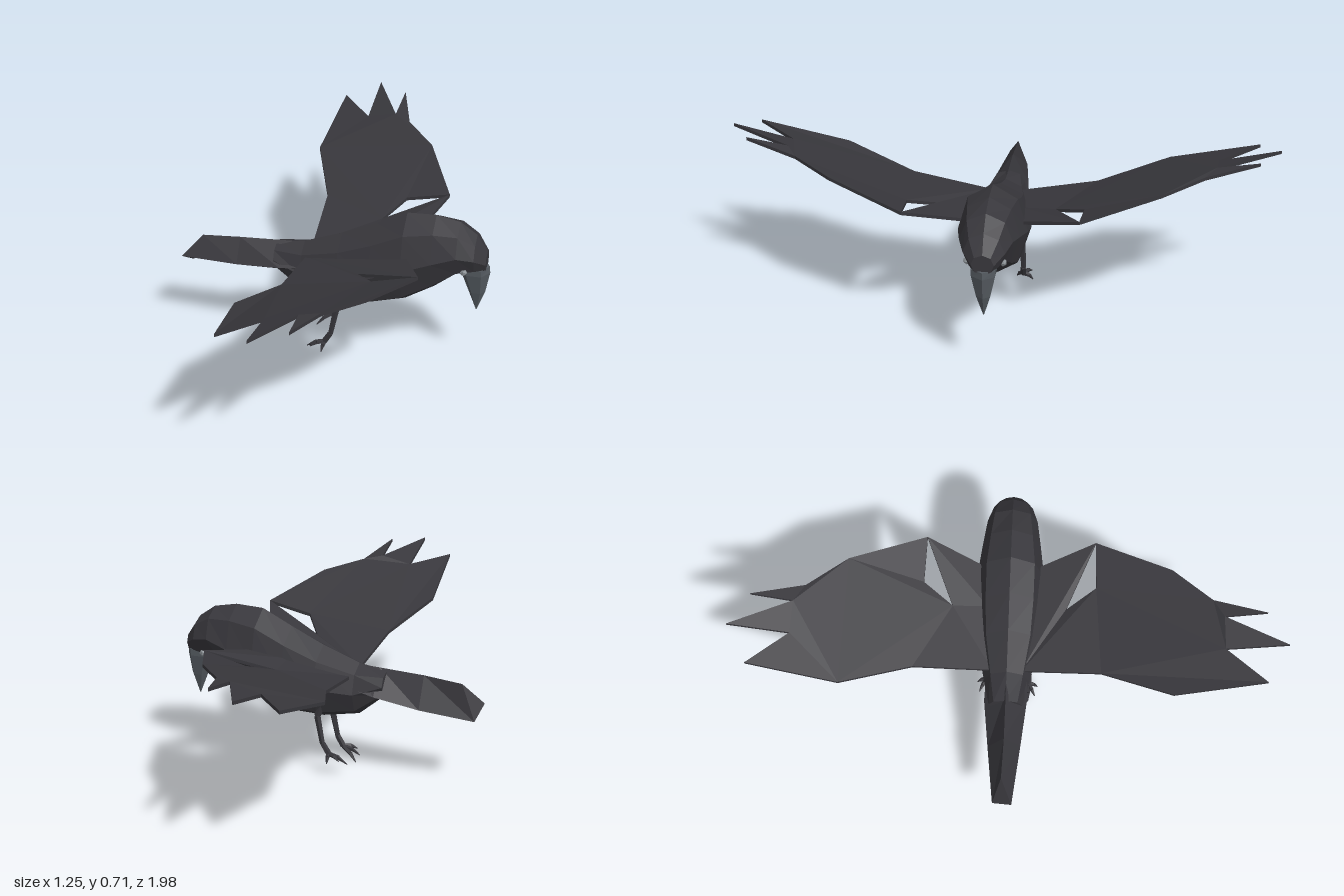
import * as THREE from 'three';

const material = (name, color) => Object.assign(new THREE.MeshStandardMaterial({ color }), { name });
const V = (x, y, z) => new THREE.Vector3(x, y, z);

// Faceted geometry from a list of triangle corners
function faceted(corners) {
  const g = new THREE.BufferGeometry().setFromPoints(corners);
  g.computeVertexNormals();
  return g;
}

// Skin over rings of equal point count, closed at both ends
function loft(rings) {
  const out = [];
  const n = rings[0].length;
  for (let k = 0; k < rings.length - 1; k++) {
    const a = rings[k], b = rings[k + 1];
    for (let i = 0; i < n; i++) {
      const j = (i + 1) % n;
      out.push(a[i], b[i], a[j], a[j], b[i], b[j]);
    }
  }
  const first = rings[0], last = rings[rings.length - 1];
  for (let i = 1; i < n - 1; i++) {
    out.push(first[0], first[i], first[i + 1], last[0], last[i + 1], last[i]);
  }
  return faceted(out);
}

// Thin plate over an outline seen from above
function plate(outline, thickness) {
  const flat = (p) => new THREE.Vector2(p.x, -p.z);
  let top = outline;
  if (THREE.ShapeUtils.isClockWise(top.map(flat))) top = [...top].reverse();
  const bottom = top.map((p) => V(p.x, p.y - thickness, p.z));
  const out = [];
  for (const [a, b, c] of THREE.ShapeUtils.triangulateShape(top.map(flat), [])) {
    out.push(top[a], top[b], top[c], bottom[a], bottom[c], bottom[b]);
  }
  top.forEach((p, i) => {
    const j = (i + 1) % top.length;
    out.push(p, bottom[i], top[j], top[j], bottom[i], bottom[j]);
  });
  return faceted(out);
}

// Tapered five-sided limb between two points
function limb(a, b, ra, rb) {
  const d = b.clone().sub(a);
  const g = new THREE.CylinderGeometry(rb, ra, d.length(), 5).toNonIndexed();
  g.applyQuaternion(new THREE.Quaternion().setFromUnitVectors(V(0, 1, 0), d.normalize()));
  const m = a.clone().add(b).multiplyScalar(0.5);
  g.translate(m.x, m.y, m.z);
  g.computeVertexNormals();
  return g;
}

export function createModel() {
  const plumage = material('charcoal plumage', 0x38373c);
  const horn = material('grey beak', 0x555b61);
  const eyeGrey = material('pale eye', 0x868c90);

  // Built facing +x, then turned
  const bird = new THREE.Group();
  bird.name = 'bird';
  const add = (name, geometry, mat, parent = bird) => {
    const mesh = new THREE.Mesh(geometry, mat);
    mesh.name = name;
    parent.add(mesh);
    return mesh;
  };

  // Body and head: station, top, bottom, half width
  const stations = [
    [-0.2, 0.465, 0.36, 0.07], [-0.08, 0.485, 0.26, 0.095], [0.08, 0.545, 0.23, 0.13],
    [0.22, 0.61, 0.235, 0.14], [0.35, 0.675, 0.27, 0.14], [0.47, 0.68, 0.345, 0.122],
    [0.57, 0.66, 0.425, 0.105], [0.64, 0.61, 0.445, 0.082], [0.685, 0.54, 0.455, 0.045],
  ];
  add('bodyAndHead', loft(stations.map(([x, top, low, w]) =>
    Array.from({ length: 8 }, (_, i) => {
      const a = (i / 8) * Math.PI * 2;
      return V(x, (top + low) / 2 + Math.sin(a) * (top - low) / 2, Math.cos(a) * w);
    }))), plumage);

  // Beak hanging from the face
  const beakRings = [[0.64, 0.47, 0.058, 0.055], [0.638, 0.44, 0.062, 0.054],
    [0.648, 0.35, 0.036, 0.032], [0.65, 0.26, 0.002, 0.002]];
  add('beak', loft(beakRings.map(([x, y, rx, rz]) =>
    Array.from({ length: 6 }, (_, i) => {
      const a = (i / 6) * Math.PI * 2 + Math.PI / 6;
      return V(x + Math.sin(a) * rx, y, Math.cos(a) * rz);
    }))), horn);

  // Roof-shaped forked tail
  add('tail', loft([
    [V(-0.61, 0.36, 0.04), V(-0.525, 0.45, -0.005), V(-0.59, 0.305, -0.04), V(-0.535, 0.345, 0)],
    [V(-0.36, 0.37, 0.068), V(-0.36, 0.465, 0), V(-0.36, 0.335, -0.068), V(-0.36, 0.35, 0)],
    [V(-0.17, 0.39, 0.088), V(-0.17, 0.475, 0), V(-0.17, 0.375, -0.09), V(-0.17, 0.335, 0)],
    [V(-0.06, 0.4, 0.085), V(-0.06, 0.48, 0), V(-0.06, 0.4, -0.085), V(-0.06, 0.31, 0)],
  ]), plumage);

  for (const s of [-1, 1]) {
    const side = s < 0 ? 'left' : 'right';
    const P = (x, y, z) => V(x, y, z * s);

    // Wing: feathered outer panel and shoulder panel, with a gap at the wrist
    const wing = new THREE.Group();
    wing.name = side + 'Wing';
    bird.add(wing);
    const rootBack = P(-0.06, 0.445, 0.06);
    const elbow = P(0.197, 0.5, 0.235);
    const wrist = P(0.464, 0.59, 0.35);
    add('outerWing', plate([
      rootBack, P(-0.077, 0.5, 0.387), P(-0.184, 0.575, 0.68),
      P(-0.149, 0.67, 1.048), P(-0.008, 0.655, 0.88), P(-0.003, 0.715, 1.128),
      P(0.12, 0.685, 0.872), P(0.13, 0.718, 1.042), P(0.193, 0.675, 0.827),
      P(0.327, 0.655, 0.662), wrist, P(0.279, 0.548, 0.357), elbow,
    ], 0.014), plumage, wing);
    add('shoulderPanel', plate([
      rootBack, elbow, wrist, P(0.375, 0.53, 0.125), P(0.2, 0.5, 0.09),
    ], 0.014), plumage, wing);

    // Eye
    const eye = new THREE.IcosahedronGeometry(0.016, 0);
    eye.translate(0.6, 0.468, 0.07 * s);
    add(side + 'Eye', eye, eyeGrey);

    // Leg and trailing toes, one foot lifted slightly
    const leg = new THREE.Group();
    leg.name = side + 'Leg';
    leg.position.y = s < 0 ? 0.035 : 0;
    bird.add(leg);
    const hip = P(0.045, 0.32, 0.075), knee = P(0.075, 0.225, 0.088);
    const ankle = P(0.052, 0.105, 0.092), foot = P(0.025, 0.06, 0.09);
    add('thigh', limb(hip, knee, 0.022, 0.014), plumage, leg);
    add('shank', limb(knee, ankle, 0.014, 0.011), plumage, leg);
    add('foot', limb(ankle, foot, 0.012, 0.013), plumage, leg);
    const toes = [[-0.03, 0.045, 0.12], [-0.05, 0.028, 0.09], [-0.045, 0.008, 0.055], [0.02, 0.03, 0.13]];
    for (const t of toes) {
      const tip = P(...t);
      const joint = foot.clone().lerp(tip, 0.55);
      joint.y += 0.008;
      add('toe', limb(foot, joint, 0.01, 0.009), plumage, leg);
      add('claw', limb(joint, tip, 0.009, 0.002), plumage, leg);
    }
  }

  bird.rotation.y = -0.4975;
  const model = new THREE.Group();
  model.name = 'flyingBird';
  model.add(bird);
  return model;
}
